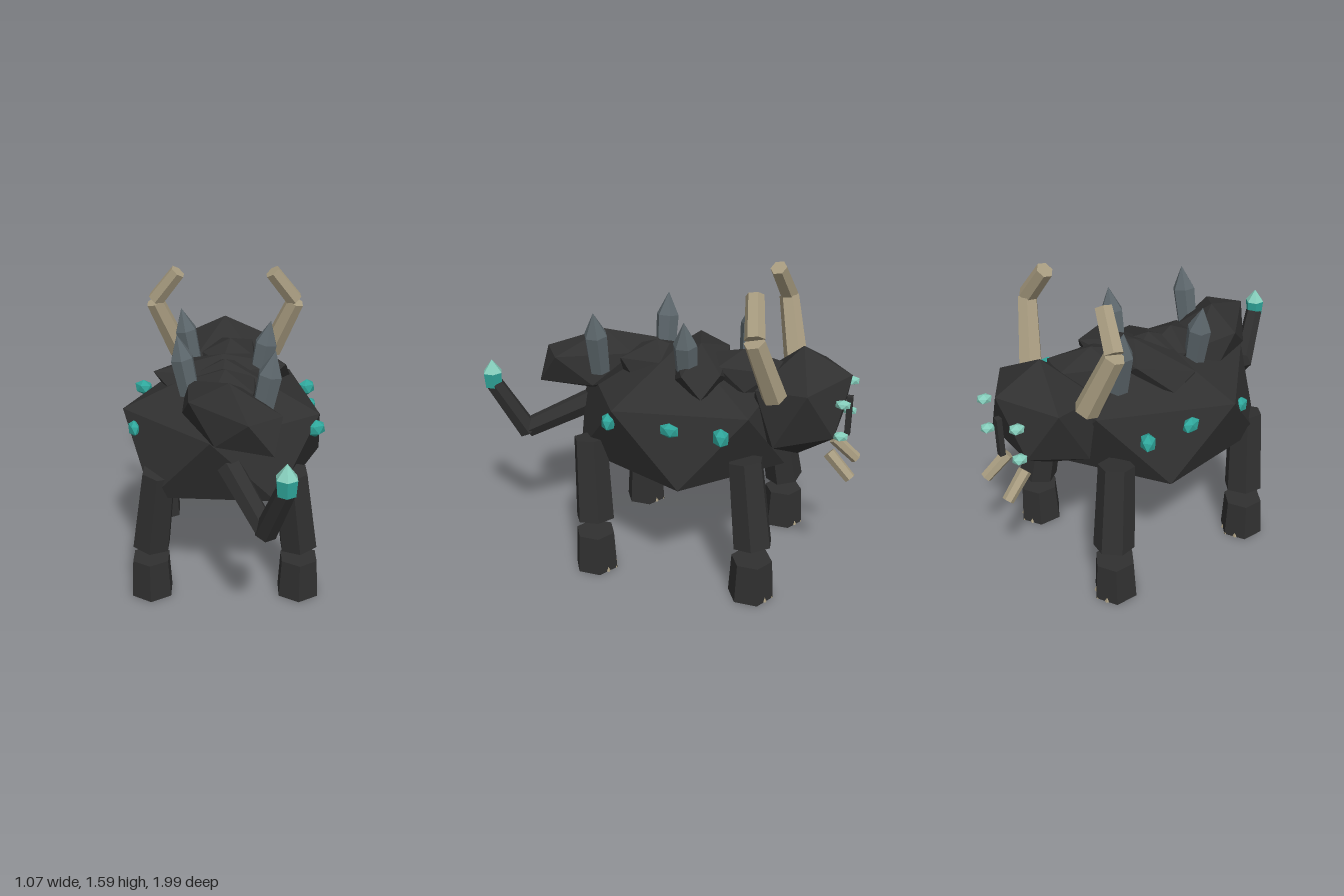
import * as THREE from 'three';
import { ConvexGeometry } from 'three/addons/geometries/ConvexGeometry.js';

const V = (x, y, z) => new THREE.Vector3(x, y, z);

export function createModel() {
  const mat = (name, color) => {
    const m = new THREE.MeshStandardMaterial({ color, flatShading: true });
    m.name = name;
    return m;
  };
  const stone = mat('darkStone', 0x303030);
  const slate = mat('slate', 0x5c666b);
  const bone = mat('bone', 0xa89c80);
  const teal = mat('tealCrystal', 0x2fa69b);
  const pale = mat('paleCrystal', 0x85cdbb);

  const model = new THREE.Group();
  model.name = 'crystalBeast';

  const add = (name, geometry, material, parent = model) => {
    const mesh = new THREE.Mesh(geometry, material);
    mesh.name = name;
    parent.add(mesh);
    return mesh;
  };

  // Pole-up icosahedron: a centre, the pole height and two ring axes (skewable)
  const boulder = (name, c, h, a, b, material = stone) => {
    const pts = [];
    for (const s of [1, -1]) {
      pts.push(V(c.x, c.y + s * h, c.z));
      for (let i = 0; i < 5; i++) {
        const t = (i * Math.PI * 2) / 5;
        const ring = a.clone().multiplyScalar(Math.cos(t)).addScaledVector(b, Math.sin(t));
        ring.y -= 0.447 * h;
        pts.push(c.clone().addScaledVector(ring, s));
      }
    }
    return add(name, new ConvexGeometry(pts), material);
  };

  // Six-sided prism running from one point to another
  const strut = (name, from, to, r0, r1, material, parent) => {
    const dir = to.clone().sub(from);
    const mesh = add(name, new THREE.CylinderGeometry(r1, r0, dir.length(), 6), material, parent);
    mesh.position.copy(from).add(to).multiplyScalar(0.5);
    mesh.quaternion.setFromUnitVectors(V(0, 1, 0), dir.normalize());
    return mesh;
  };

  // Standing crystal: shaft with a pointed cap
  const crystal = (name, pos, tilt, r, shaft, cap, shaftMat, capMat) => {
    const g = new THREE.Group();
    g.name = name;
    add('shaft', new THREE.CylinderGeometry(r, r * 0.88, shaft, 6), shaftMat, g).position.y = shaft / 2;
    add('cap', new THREE.ConeGeometry(r, cap, 6, 1), capMat, g).position.y = shaft + cap / 2;
    g.position.copy(pos);
    g.rotation.z = tilt;
    model.add(g);
  };

  // Body and head
  boulder('body', V(0, 0.8, -0.045), 0.405, V(0.535, 0, -0.145), V(0.097, 0, 0.565));
  boulder('head', V(0, 0.95, -0.68), 0.3, V(0, -0.04, 0.25), V(0.305, 0, 0));
  const bar = add('noseRidge', new THREE.BoxGeometry(0.035, 0.21, 0.028), stone);
  bar.position.set(0, 0.905, -0.928);

  // Rock lumps along the back
  boulder('rumpRock', V(0.02, 1.06, 0.39), 0.175, V(0.21, 0, 0.29), V(0.14, 0, -0.1));
  boulder('rearBackRock', V(0, 1.07, 0.1), 0.13, V(0.05, 0, 0.2), V(0.18, 0, -0.02));
  boulder('middleBackRock', V(-0.01, 1.09, -0.14), 0.11, V(0.37, 0, -0.11), V(0.07, 0, 0.15));
  boulder('shoulderRock', V(0.03, 1.09, -0.38), 0.12, V(0.05, 0, -0.24), V(0.15, 0, 0.03));

  // Slate spikes, alternating sides
  [-0.36, -0.125, 0.115, 0.355].forEach((z, i) => {
    const s = i % 2 ? 1 : -1;
    crystal('backSpike', V(s * 0.18, 1.06, z), -s * 0.19, 0.063, 0.21, 0.125, slate, slate);
  });

  // Flank gems: z, half sizes on the left side, half sizes on the right side
  const flank = [
    [0.195, [0.05, 0.048, 0.036], [0.031, 0.045, 0.042]],
    [-0.125, [0.028, 0.04, 0.048], [0.03, 0.045, 0.05]],
    [-0.385, [0.048, 0.05, 0.04], [0.05, 0.045, 0.038]],
  ];
  for (const [z, left, right] of flank) {
    for (const [s, r] of [[1, left], [-1, right]]) {
      boulder('flankGem', V(s * 0.47, 0.91, z), r[1], V(r[0], 0, -s * 0.012), V(0, 0, r[2]), teal);
    }
  }

  for (const s of [1, -1]) {
    // Four eyes
    for (const y of [1.03, 0.86]) {
      boulder('eye', V(s * 0.167, y, -0.913), 0.025, V(0.034, 0, 0), V(0, 0, 0.037), pale);
    }

    // Bent horn and tusk
    strut('hornBase', V(s * 0.27, 1.07, -0.595), V(s * 0.4, 1.385, -0.515), 0.064, 0.053, bone);
    strut('hornTip', V(s * 0.395, 1.395, -0.515), V(s * 0.263, 1.565, -0.478), 0.05, 0.045, bone);
    strut('tusk', V(s * 0.09, 0.725, -0.855), V(s * 0.118, 0.61, -0.975), 0.034, 0.03, bone);

    // Legs with separate hoof blocks and small claws
    for (const [name, top, foot] of [['rearLeg', 0.355, 0.322], ['frontLeg', -0.48, -0.545]]) {
      const leg = new THREE.Group();
      leg.name = name;
      model.add(leg);
      strut('upperLeg', V(s * 0.335, 0.74, top), V(s * 0.39, 0.295, foot), 0.092, 0.106, stone, leg);
      const hoof = add('hoof', new THREE.CylinderGeometry(0.107, 0.12, 0.216, 6), stone, leg);
      hoof.position.set(s * 0.395, 0.108, foot);
      for (const dx of [-0.05, 0, 0.05]) {
        const claw = add('claw', new THREE.ConeGeometry(0.014, 0.035, 5), bone, leg);
        claw.position.set(s * 0.395 + dx, 0.018, foot - 0.108 + Math.abs(dx) * 0.45);
      }
    }
  }

  // Tail with crystal tip
  strut('tailBase', V(0, 0.845, 0.41), V(0.19, 0.665, 0.8), 0.068, 0.055, stone);
  strut('tailEnd', V(0.19, 0.65, 0.795), V(0.268, 0.945, 0.94), 0.057, 0.048, stone);
  crystal('tailCrystal', V(0.27, 0.93, 0.943), 0, 0.054, 0.08, 0.07, teal, pale);

  return model;
}
